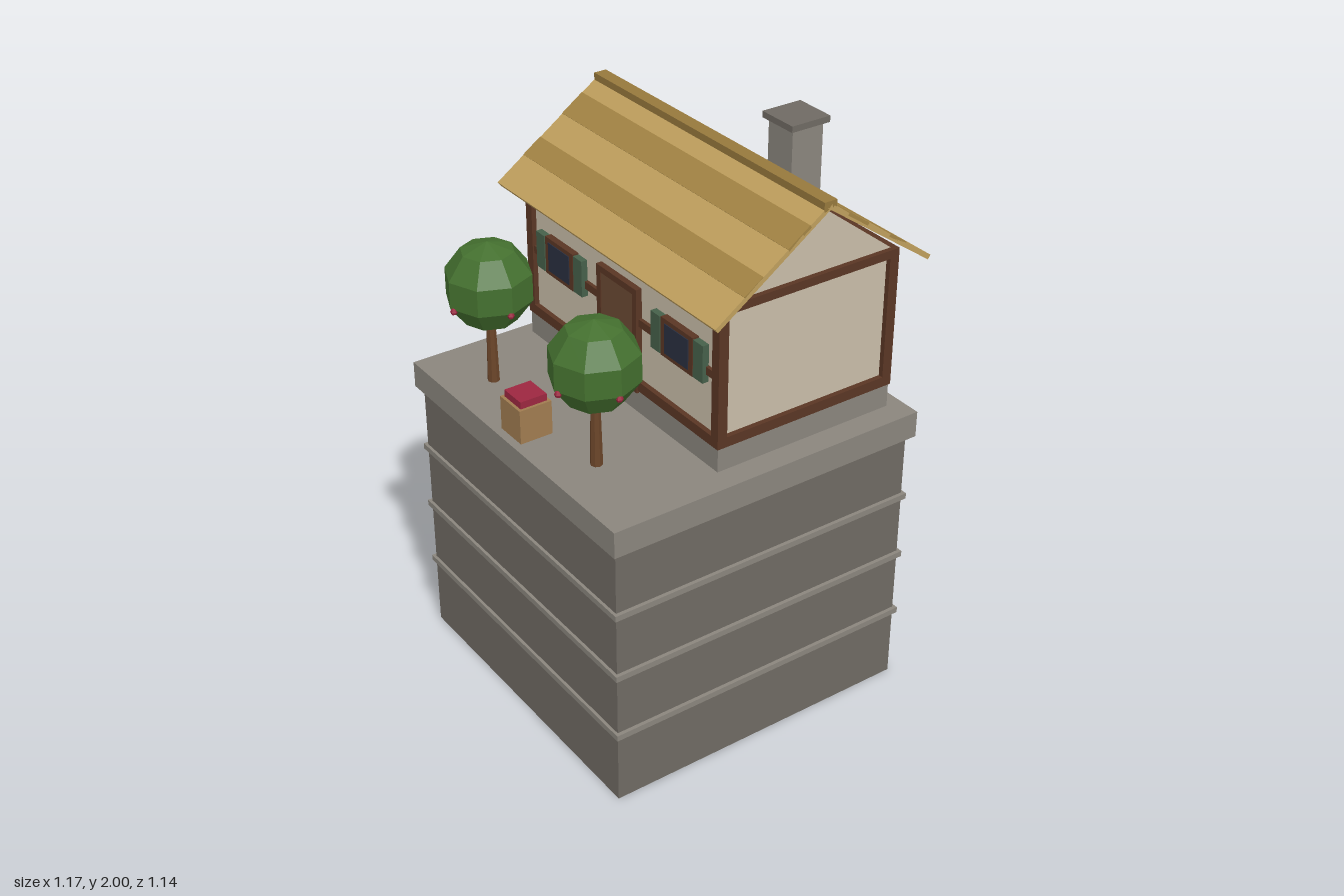
import * as THREE from 'three';

const mat = (color) => new THREE.MeshStandardMaterial({ color, flatShading: true });
const M = {
  stone: mat(0x6f6a63), ledge: mat(0x8a857d), plaster: mat(0xc8bda9), timber: mat(0x5a3624),
  door: mat(0x6b4a33), thatch: mat(0xbf9f5d), thatchDark: mat(0xa38444), ridge: mat(0x96783c),
  leaf: mat(0x44702f), trunk: mat(0x6b4529), glass: mat(0x2a2f40), shutter: mat(0x46604a),
  wood: mat(0xa07c50), red: mat(0x9c2740),
};

const GROUND = 1.048;   // level on which the house and garden stand
const HZ = -0.172;      // house centre in z
const HX = 0.505, HD = 0.315; // half width and half depth of the walls

function add(parent, name, geometry, material, x = 0, y = 0, z = 0) {
  const mesh = new THREE.Mesh(geometry, material);
  mesh.name = name;
  mesh.position.set(x, y, z);
  parent.add(mesh);
  return mesh;
}
const box = (parent, name, w, h, d, material, x, y, z) =>
  add(parent, name, new THREE.BoxGeometry(w, h, d), material, x, y, z);

function group(parent, name, x = 0, y = 0, z = 0) {
  const g = new THREE.Group();
  g.name = name;
  g.position.set(x, y, z);
  parent.add(g);
  return g;
}

// Square stone tower with three bands and a top slab
function tower(parent) {
  const g = group(parent, 'tower');
  box(g, 'towerBody', 1.12, 0.95, 1.1, M.stone, 0, 0.475, 0);
  for (const y of [0.257, 0.487, 0.715]) box(g, 'towerBand', 1.145, 0.02, 1.12, M.ledge, 0, y, 0);
  box(g, 'towerTop', 1.17, 0.09, 1.138, M.ledge, 0, 0.99, 0);
}

// Shuttered window facing +z
function shutteredWindow(parent, x) {
  const g = group(parent, 'window', x, 1.388, HD);
  box(g, 'windowFrame', 0.16, 0.13, 0.03, M.timber, 0, 0, 0.008);
  box(g, 'windowGlass', 0.12, 0.1, 0.03, M.glass, 0, 0, 0.011);
  for (const s of [-1, 1]) box(g, 'shutter', 0.048, 0.125, 0.022, M.shutter, s * 0.108, 0, 0.013);
}

// Timber and windows shared by the front and back walls
function longWall(house, front) {
  const g = group(house, front ? 'frontWall' : 'backWall');
  if (!front) g.rotation.y = Math.PI;
  box(g, 'sillBeam', 1.04, 0.034, 0.034, M.timber, 0, 1.146, HD);
  box(g, 'topBeam', 1.04, 0.028, 0.034, M.timber, 0, 1.587, HD);
  box(g, 'middleRail', 1.0, 0.026, 0.024, M.timber, 0, 1.366, HD);
  for (const x of [-0.32, 0.32]) shutteredWindow(g, x);
  if (!front) return;
  box(g, 'doorPanel', 0.18, 0.35, 0.036, M.door, 0, 1.3, HD);
  for (const s of [-1, 1]) box(g, 'doorJamb', 0.022, 0.36, 0.042, M.timber, s * 0.097, 1.3, HD);
  box(g, 'doorLintel', 0.216, 0.022, 0.042, M.timber, 0, 1.469, HD);
}

function house(parent) {
  const g = group(parent, 'house', 0, 0, HZ);
  box(g, 'foundation', 1.035, 0.09, 0.655, M.ledge, 0, GROUND + 0.045, 0);
  box(g, 'walls', HX * 2, 0.47, HD * 2, M.plaster, 0, 1.365, 0);

  // Triangular gable running the length of the house
  const tri = new THREE.Shape([[-HD, 0], [HD, 0], [0, 0.24]].map(([x, y]) => new THREE.Vector2(x, y)));
  const prism = new THREE.ExtrudeGeometry(tri, { depth: HX * 2, bevelEnabled: false });
  add(g, 'gable', prism, M.plaster, -HX, 1.598, 0).rotation.y = Math.PI / 2;

  longWall(g, true);
  longWall(g, false);

  // Corner posts and end beams
  for (const s of [-1, 1]) {
    for (const t of [-1, 1]) box(g, 'cornerPost', 0.034, 0.472, 0.034, M.timber, s * HX, 1.365, t * HD);
    box(g, 'endSill', 0.034, 0.034, HD * 2, M.timber, s * HX, 1.146, 0);
    box(g, 'endTopBeam', 0.034, 0.028, HD * 2, M.timber, s * HX, 1.587, 0);
  }
}

// Two thin thatched slopes, each with two darker courses, under a ridge beam
function roof(parent) {
  const g = group(parent, 'roof', 0, 1.862, HZ - 0.002);
  const angle = Math.atan(0.7), c = Math.cos(angle), length = 0.397 / c;
  for (const turn of [0, Math.PI]) {
    const side = group(g, 'roofSide');
    side.rotation.y = turn;
    const slope = group(side, 'slope');
    slope.rotation.x = angle;
    box(slope, 'thatch', 1.17, 0.016, length, M.thatch, 0, -0.008, length / 2);
    for (const [a, b] of [[0.07, 0.147], [0.232, 0.297]])
      box(slope, 'darkCourse', 1.17, 0.01, (b - a) / c, M.thatchDark, 0, -0.003, (a + b) / 2 / c);
  }
  box(g, 'ridgeBeam', 1.17, 0.03, 0.045, M.ridge, 0, -0.007, 0);
}

function chimney(parent) {
  const g = group(parent, 'chimney', 0.28, 0, -0.286);
  box(g, 'chimneyStack', 0.112, 0.29, 0.112, M.ledge, 0, 1.845, 0);
  box(g, 'chimneyCap', 0.14, 0.02, 0.14, M.stone, 0, 1.99, 0);
}

// Round faceted tree with a few small fruits
function tree(parent, x) {
  const g = group(parent, 'tree', x, GROUND, 0.422);
  add(g, 'trunk', new THREE.CylinderGeometry(0.014, 0.02, 0.26, 8), M.trunk, 0, 0.13, 0);
  add(g, 'crown', new THREE.SphereGeometry(0.147, 8, 5), M.leaf, 0, 0.346, 0);
  for (const [fx, fz] of [[0.012, 0.134], [0.134, 0.004]])
    add(g, 'fruit', new THREE.SphereGeometry(0.012, 6, 4), M.red, fx, 0.295, fz);
}

// Wooden crate with a red filling
function crate(parent) {
  const g = group(parent, 'crate', -0.002, GROUND, 0.495);
  box(g, 'crateBody', 0.113, 0.116, 0.113, M.wood, 0, 0.058, 0);
  box(g, 'crateTop', 0.093, 0.03, 0.093, M.red, 0, 0.125, 0);
}

export function createModel() {
  const model = new THREE.Group();
  model.name = 'cottageOnTower';
  tower(model);
  house(model);
  roof(model);
  chimney(model);
  for (const x of [-0.322, 0.273]) tree(model, x);
  crate(model);
  return model;
}
